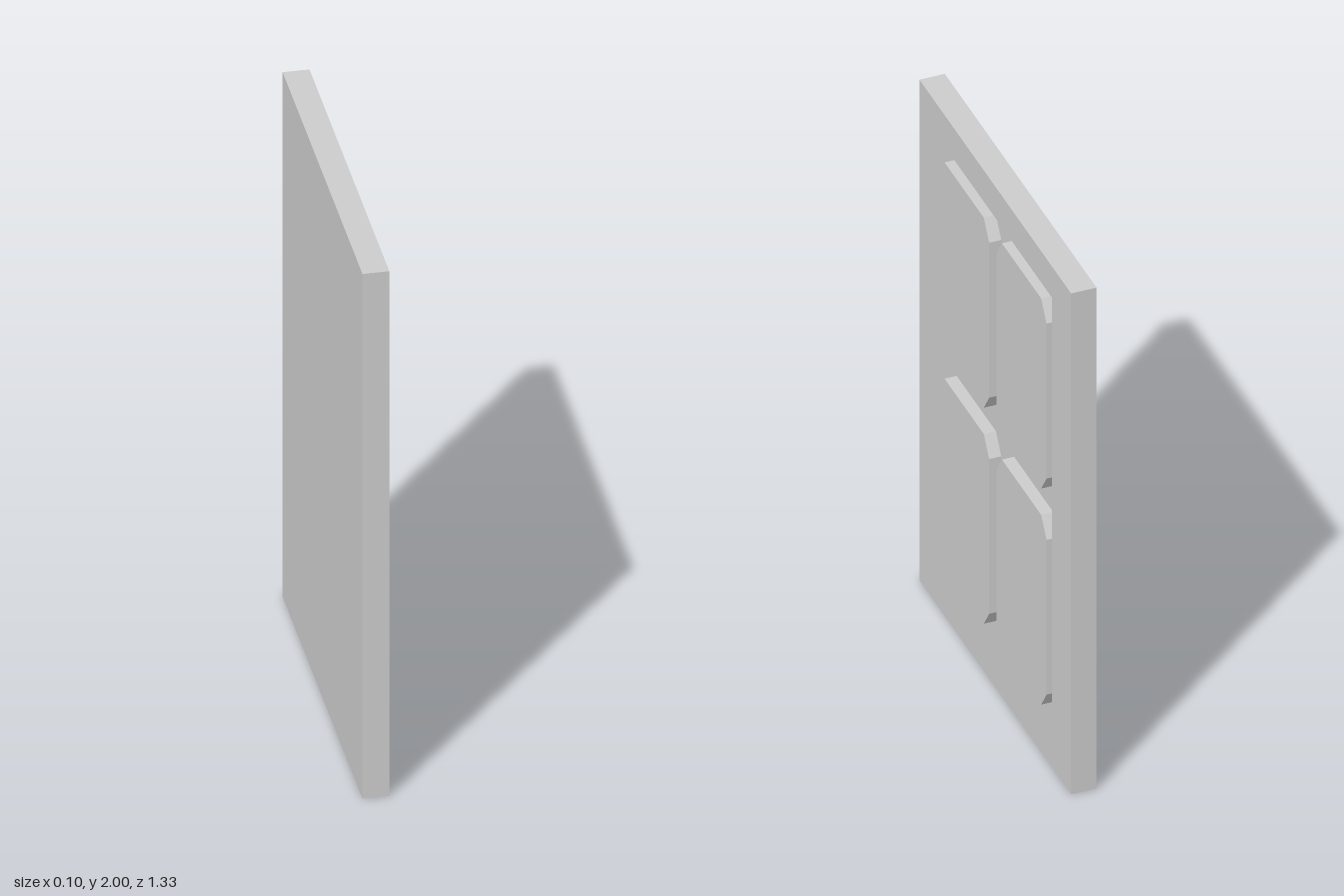
import * as THREE from 'three';

const material = new THREE.MeshStandardMaterial({ color: 0xcccccc, flatShading: true });

// Corner points of a z/y rectangle; cz and cy cut its corners
function outline(z0, z1, y0, y1, cz = 0, cy = 0) {
  const corners = cz
    ? [[z0 + cz, y0], [z1 - cz, y0], [z1, y0 + cy], [z1, y1 - cy],
       [z1 - cz, y1], [z0 + cz, y1], [z0, y1 - cy], [z0, y0 + cy]]
    : [[z0, y0], [z1, y0], [z1, y1], [z0, y1]];
  return corners.map(([z, y]) => new THREE.Vector2(-z, y));
}

// Extrude a z/y outline along x from x0 to x1
function plate(name, points, x0, x1, hole) {
  const shape = new THREE.Shape(points);
  if (hole) shape.holes.push(new THREE.Path(hole));
  const geometry = new THREE.ExtrudeGeometry(shape, { depth: x1 - x0, bevelEnabled: false });
  geometry.rotateY(Math.PI / 2).translate(x0, 0, 0);
  const mesh = new THREE.Mesh(geometry, material);
  mesh.name = name;
  return mesh;
}

export function createModel() {
  const group = new THREE.Group();
  group.name = 'panelledDoor';
  const back = -0.048, floor = 0.005, front = 0.042, raised = 0.048;
  const slab = outline(-0.665, 0.665, 0, 2);

  // Solid back and the frame around the recess
  group.add(plate('backPlate', slab, back, floor));
  group.add(plate('frame', slab, floor, front, outline(-0.495, 0.515, 0.147, 1.875)));

  // Four raised panels with cut corners, standing in the recess
  for (const [y0, y1, row] of [[0.2, 0.958, 'lower'], [1.063, 1.822, 'upper']]) {
    for (const [z0, z1, side] of [[0.039, 0.477, 'Left'], [-0.464, -0.026, 'Right']]) {
      group.add(plate(`${row}${side}Panel`, outline(z0, z1, y0, y1, 0.047, 0.07), floor, raised));
    }
  }
  return group;
}
